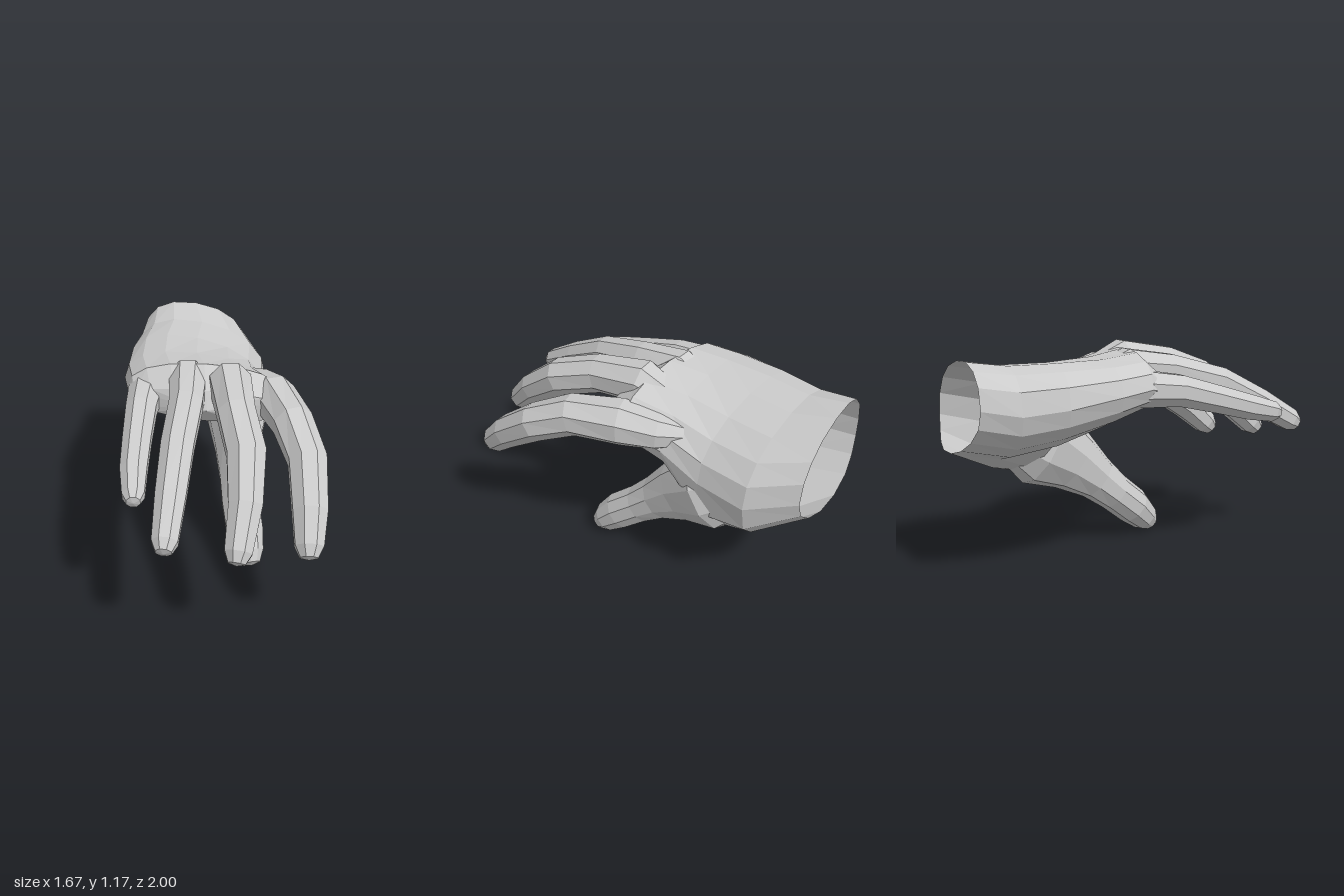
import * as THREE from 'three';

const material = new THREE.MeshStandardMaterial({ color: 0xcccccc, flatShading: true, side: THREE.DoubleSide });
const V = (x, y, z) => new THREE.Vector3(x, y, z);

// Skin a list of equal-sized point rings and close the far end with an apex.
function loft(name, rings, apex) {
  const n = rings[0].length;
  const last = (rings.length - 1) * n;
  const positions = [...rings.flat(), apex].flatMap((p) => [p.x, p.y, p.z]);
  const index = [];
  for (let j = 0; j < n; j++) {
    const k = (j + 1) % n;
    for (let i = 0; i < last; i += n) index.push(i + j, i + k, i + n + k, i + j, i + n + k, i + n + j);
    index.push(last + j, last + k, last + n);
  }
  const geometry = new THREE.BufferGeometry();
  geometry.setAttribute('position', new THREE.Float32BufferAttribute(positions, 3));
  geometry.setIndex(index);
  geometry.computeVertexNormals();
  const mesh = new THREE.Mesh(geometry, material);
  mesh.name = name;
  return mesh;
}

// Tapered digit through joints [x, y, z, radius, optional height radius], with a blunt tip.
function digit(name, joints, sides = 8) {
  const pts = joints.map(([x, y, z]) => V(x, y, z));
  const radii = joints.map(([, , , r, h = r]) => [r, h]);
  const n = pts.length;
  const end = pts[n - 1].clone().sub(pts[n - 2]).normalize();
  const r = radii[n - 1][0];
  pts.push(pts[n - 1].clone().addScaledVector(end, r * 0.75));
  radii.push([r * 0.62, r * 0.62]);
  const rings = pts.map((p, i) => {
    const t = pts[Math.min(i + 1, n)].clone().sub(pts[Math.max(i - 1, 0)]).normalize();
    const u = V(0.89, 0, -0.45);
    u.addScaledVector(t, -u.dot(t)).normalize();
    const v = t.clone().cross(u);
    return Array.from({ length: sides }, (_, j) => {
      const a = ((j + 0.5) / sides) * Math.PI * 2;
      return p.clone().addScaledVector(u, Math.cos(a) * radii[i][0]).addScaledVector(v, Math.sin(a) * radii[i][1]);
    });
  });
  return loft(name, rings, pts[n].clone().addScaledVector(end, r * 0.15));
}

// Palm section: outer edge, thumb-side edge, height above and below,
// forward bow above and below, and sag of the fleshy thumb mound.
function palmRing([outer, inner, up, down, bowUp, bowDown, sag], sides = 16) {
  const p = V(...outer), q = V(...inner);
  const centre = p.clone().add(q).multiplyScalar(0.5);
  const half = q.clone().sub(p).multiplyScalar(0.5);
  const soft = (w) => Math.sign(w) * Math.abs(w) ** 0.88;
  return Array.from({ length: sides }, (_, j) => {
    const a = (j / sides) * Math.PI * 2;
    const c = Math.cos(a), s = Math.sin(a);
    const point = centre.clone().addScaledVector(half, soft(c));
    point.y += soft(s) * (s > 0 ? up : down) - 2 * sag * Math.max(c, 0) * Math.max(-s, 0);
    return point.addScaledVector(V(0.45, 0, 0.89), (s > 0 ? bowUp : bowDown) * s * s);
  });
}

export function createModel() {
  const hand = new THREE.Group();
  hand.name = 'hand';

  // Palm and open wrist
  const sections = [
    [[-0.83, 0.94, -0.69], [-0.26, 0.82, -1.0], 0.26, 0.2, 0, -0.05, 0],
    [[-0.77, 0.9, -0.5], [-0.05, 0.74, -0.83], 0.28, 0.21, 0, 0, 0.09],
    [[-0.7, 0.92, -0.28], [0.06, 0.76, -0.58], 0.26, 0.19, 0, 0, 0.2],
    [[-0.58, 0.96, -0.03], [0.17, 0.87, -0.38], 0.2, 0.17, 0, 0, 0.02],
    [[-0.47, 0.98, 0.12], [0.31, 0.95, -0.22], 0.18, 0.14, 0.02, 0.02, 0],
    [[-0.41, 0.96, 0.18], [0.36, 0.93, -0.1], 0.1, 0.08, 0.04, 0.04, 0],
  ];
  hand.add(loft('palm', sections.map((s) => palmRing(s)), V(0.02, 0.95, 0.12)));

  // Fingers, from a root buried in the palm, over the knuckle, to the tip
  const fingers = {
    indexFinger: [[0.01, 0.93, -0.4, 0.06], [0.14, 0.94, -0.31, 0.1], [0.28, 0.96, -0.18, 0.125],
      [0.47, 0.94, 0.02, 0.112], [0.62, 0.84, 0.18, 0.105], [0.72, 0.68, 0.38, 0.095], [0.77, 0.56, 0.5, 0.077]],
    middleFinger: [[-0.05, 0.98, -0.27, 0.07], [0.08, 1.06, -0.04, 0.12], [0.23, 1.02, 0.2, 0.105],
      [0.38, 0.93, 0.4, 0.105], [0.47, 0.77, 0.6, 0.09], [0.51, 0.61, 0.76, 0.073]],
    ringFinger: [[-0.25, 0.98, -0.22, 0.07], [-0.16, 1.05, -0.01, 0.11], [-0.05, 1.02, 0.22, 0.095],
      [0.05, 0.94, 0.5, 0.09], [0.14, 0.81, 0.74, 0.082], [0.215, 0.69, 0.94, 0.068]],
    littleFinger: [[-0.45, 0.95, -0.12, 0.07], [-0.37, 0.97, 0.09, 0.1], [-0.3, 0.95, 0.26, 0.088],
      [-0.21, 0.89, 0.46, 0.08], [-0.12, 0.83, 0.65, 0.074], [-0.04, 0.79, 0.79, 0.06]],
  };
  for (const [name, joints] of Object.entries(fingers)) hand.add(digit(name, joints));

  // Thumb, flattened at its base into the web that meets the index finger
  hand.add(digit('thumb', [[-0.18, 0.7, -0.62, 0.13, 0.17],
    [-0.08, 0.62, -0.48, 0.185, 0.245], [0.0, 0.5, -0.32, 0.14, 0.18], [0.07, 0.38, -0.19, 0.115, 0.13],
    [0.13, 0.28, -0.09, 0.112], [0.21, 0.17, 0.02, 0.11], [0.27, 0.085, 0.09, 0.088]], 10));

  return hand;
}
